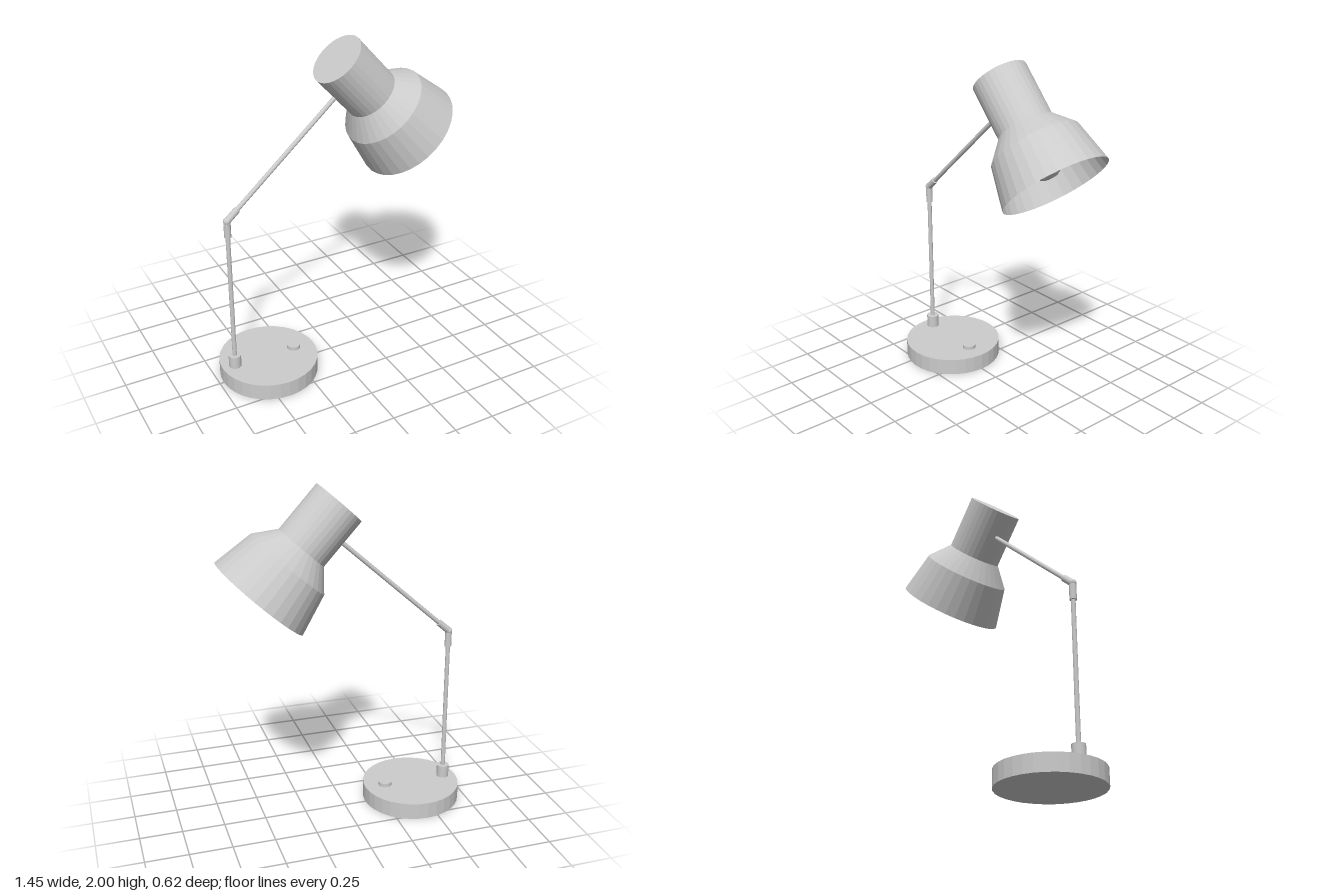
import * as THREE from 'three';

const mat = new THREE.MeshStandardMaterial({ color: 0xcccccc, flatShading: true });
const thin = new THREE.MeshStandardMaterial({ color: 0xcccccc, flatShading: true, side: THREE.DoubleSide });
const UP = new THREE.Vector3(0, 1, 0);

export function createModel() {
  const lamp = new THREE.Group();
  lamp.name = 'deskLamp';

  const add = (name, geometry, parent = lamp, material = mat) => {
    const mesh = new THREE.Mesh(geometry, material);
    mesh.name = name;
    parent.add(mesh);
    return mesh;
  };

  // Cylinder running between two points in the z = 0 plane
  const rod = (name, from, to, radius, sides) => {
    const a = new THREE.Vector3(...from, 0), b = new THREE.Vector3(...to, 0);
    const mesh = add(name, new THREE.CylinderGeometry(radius, radius, a.distanceTo(b), sides));
    mesh.position.copy(a).add(b).multiplyScalar(0.5);
    mesh.quaternion.setFromUnitVectors(UP, b.sub(a).normalize());
    return mesh;
  };

  // Base with switch and post socket
  const postX = -0.647, elbow = [postX, 1.075];
  rod('base', [-0.43, 0], [-0.43, 0.1], 0.296, 32);
  rod('switchButton', [-0.262, 0.1], [-0.262, 0.122], 0.04, 24);
  rod('postSocket', [postX, 0.1], [postX, 0.177], 0.037, 24);

  // Post, elbow joint and arm
  rod('post', [postX, 0.1], [postX, 1.07], 0.013, 12);
  rod('lowerSleeve', [postX, 0.975], elbow, 0.02, 16);
  add('elbowJoint', new THREE.SphereGeometry(0.022, 16, 10)).position.set(...elbow, 0);
  rod('upperSleeve', elbow, [-0.583, 1.132], 0.02, 16);
  rod('arm', elbow, [0.06, 1.706], 0.013, 12);

  // Head: its local -y axis points out of the shade, origin at the cap
  const head = new THREE.Group();
  head.name = 'head';
  head.position.set(0.033, 1.891, 0);
  head.rotation.z = Math.atan2(0.675, 0.738);
  lamp.add(head);

  add('housing', new THREE.CylinderGeometry(0.16, 0.16, 0.319, 32), head).position.y = -0.1595;

  const profile = (points) => points.map(([r, y]) => new THREE.Vector2(r, y));
  add('shade', new THREE.LatheGeometry(
    profile([[0.312, -0.682], [0.26, -0.436], [0.16, -0.319]]), 32), head, thin);

  // Faceted bulb with a neck running up into the housing
  const bulb = [];
  for (let i = 0; i <= 5; i++) {
    const t = (i / 8) * Math.PI;
    bulb.push([0.122 * Math.sin(t), -0.51 - 0.122 * Math.cos(t)]);
  }
  bulb.push([0.07, -0.4], [0.06, -0.31]);
  add('bulb', new THREE.LatheGeometry(profile(bulb), 10), head);

  return lamp;
}
